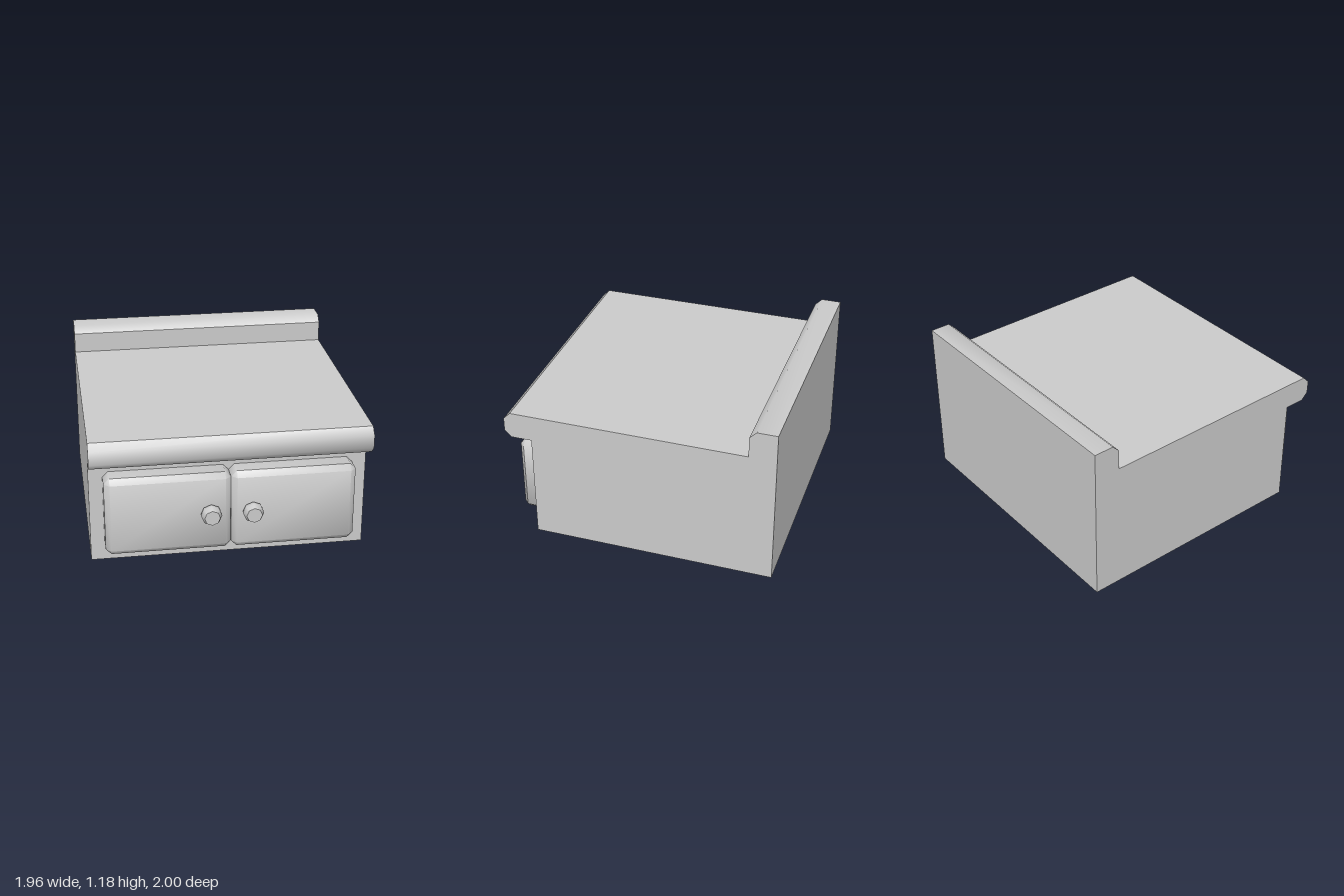
import * as THREE from 'three';
import { mergeGeometries, toCreasedNormals } from 'three/addons/utils/BufferGeometryUtils.js';
import { ConvexGeometry } from 'three/addons/geometries/ConvexGeometry.js';

const grey = new THREE.MeshStandardMaterial({ color: 0xcccccc });
const HALF = 0.98;

// Strip swept across x along a run of [z, y] points, smooth within the run
function sweep(run) {
  const pos = [], idx = [];
  run.forEach(([z, y], i) => {
    pos.push(-HALF, y, z, HALF, y, z);
    if (i) {
      const a = 2 * i - 2;
      idx.push(a, a + 1, a + 3, a, a + 3, a + 2);
    }
  });
  const g = new THREE.BufferGeometry();
  g.setAttribute('position', new THREE.Float32BufferAttribute(pos, 3));
  g.setIndex(idx);
  g.computeVertexNormals();
  return g.toNonIndexed();
}

// Side wall from the closed profile
function wall(profile, side) {
  const g = new THREE.ShapeGeometry(
    new THREE.Shape(profile.map(([z, y]) => new THREE.Vector2(-side * z, y))));
  g.rotateY(side * Math.PI / 2).translate(side * HALF, 0, 0);
  g.deleteAttribute('uv');
  return g.toNonIndexed();
}

// Cabinet body with overhanging rounded lip and raised back ledge
function bodyGeometry() {
  const runs = [
    [[-1, 0], [0.76, 0]],
    [[0.76, 0], [0.76, 0.785]],
    [[0.76, 0.785], [0.91, 0.785]],
    [[0.91, 0.785], [0.96, 0.835], [0.96, 0.93], [0.91, 0.98]],
    [[0.91, 0.98], [-0.805, 0.98]],
    [[-0.805, 0.98], [-0.805, 1.13]],
    [[-0.805, 1.13], [-0.855, 1.18], [-1, 1.18]],
    [[-1, 1.18], [-1, 0]],
  ];
  const profile = runs.flatMap(r => r.slice(0, -1));
  return mergeGeometries([...runs.map(sweep), wall(profile, 1), wall(profile, -1)]);
}

// Door slab with bevelled front and clipped corners
function doorGeometry() {
  const w = 0.44, h = 0.293, b = 0.04, pts = [];
  for (const sx of [-1, 1]) for (const sy of [-1, 1]) {
    for (const z of [0.76, 0.873]) {
      pts.push(new THREE.Vector3(sx * (w - b), sy * h, z));
      pts.push(new THREE.Vector3(sx * w, sy * (h - b), z));
    }
    pts.push(new THREE.Vector3(sx * (w - b), sy * (h - b), 0.91));
  }
  return toCreasedNormals(new ConvexGeometry(pts), 0.8);
}

// Eight-sided knob
function knobGeometry() {
  const profile = [[0.05, 0.9], [0.073, 0.933], [0.073, 0.962], [0.055, 1]];
  const side = new THREE.LatheGeometry(profile.map(p => new THREE.Vector2(...p)), 8);
  side.rotateX(Math.PI / 2);
  const cap = new THREE.CircleGeometry(0.055, 8).translate(0, 0, 1);
  return mergeGeometries([side, cap]);
}

export function createModel() {
  const group = new THREE.Group();
  const add = (name, geometry, x = 0, y = 0) => {
    const mesh = new THREE.Mesh(geometry, grey);
    mesh.name = name;
    mesh.position.set(x, y, 0);
    group.add(mesh);
  };
  add('cabinetBody', bodyGeometry());
  const door = doorGeometry(), knob = knobGeometry();
  for (const [side, s] of [['left', 1], ['right', -1]]) {
    add(side + 'Door', door, s * 0.441, 0.393);
    add(side + 'Knob', knob, s * 0.147, 0.395);
  }
  return group;
}
